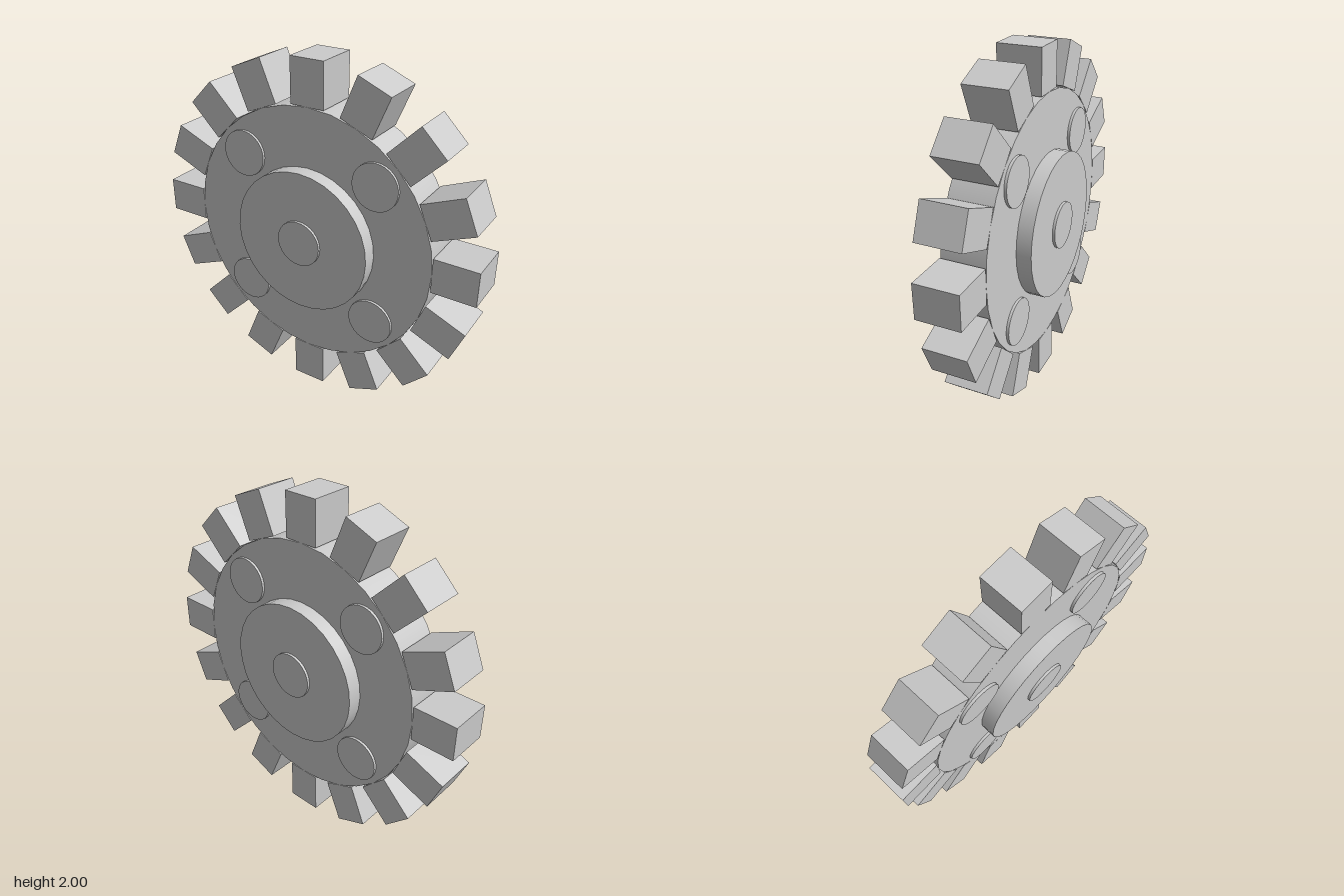
import * as THREE from 'three';

export function createModel() {
  const model = new THREE.Group();
  const gear = new THREE.Group();
  gear.name = 'gear';
  gear.position.y = 1;
  model.add(gear);
  const material = new THREE.MeshStandardMaterial({ color: 0xcccccc });

  // Round plate lying across the z axis, centred on the gear plane
  function plate(name, radius, depth, x = 0, y = 0) {
    const geometry = new THREE.CylinderGeometry(radius, radius, depth, 32).rotateX(Math.PI / 2);
    const mesh = new THREE.Mesh(geometry, material);
    mesh.name = name;
    mesh.position.set(x, y, 0);
    gear.add(mesh);
  }

  plate('disc', 0.75, 0.25);
  plate('hub', 0.415, 0.42);
  plate('axle', 0.133, 0.45);

  // Four bolts passing through the disc
  for (const x of [-0.412, 0.412]) {
    for (const y of [-0.412, 0.412]) plate('bolt', 0.133, 0.28, x, y);
  }

  // Sixteen square teeth around the rim
  const toothGeometry = new THREE.BoxGeometry(0.25, 0.2, 0.25).translate(0.875, 0, 0);
  for (let i = 0; i < 16; i++) {
    const tooth = new THREE.Mesh(toothGeometry, material);
    tooth.name = 'tooth';
    tooth.rotation.z = (i * Math.PI) / 8;
    gear.add(tooth);
  }

  return model;
}
